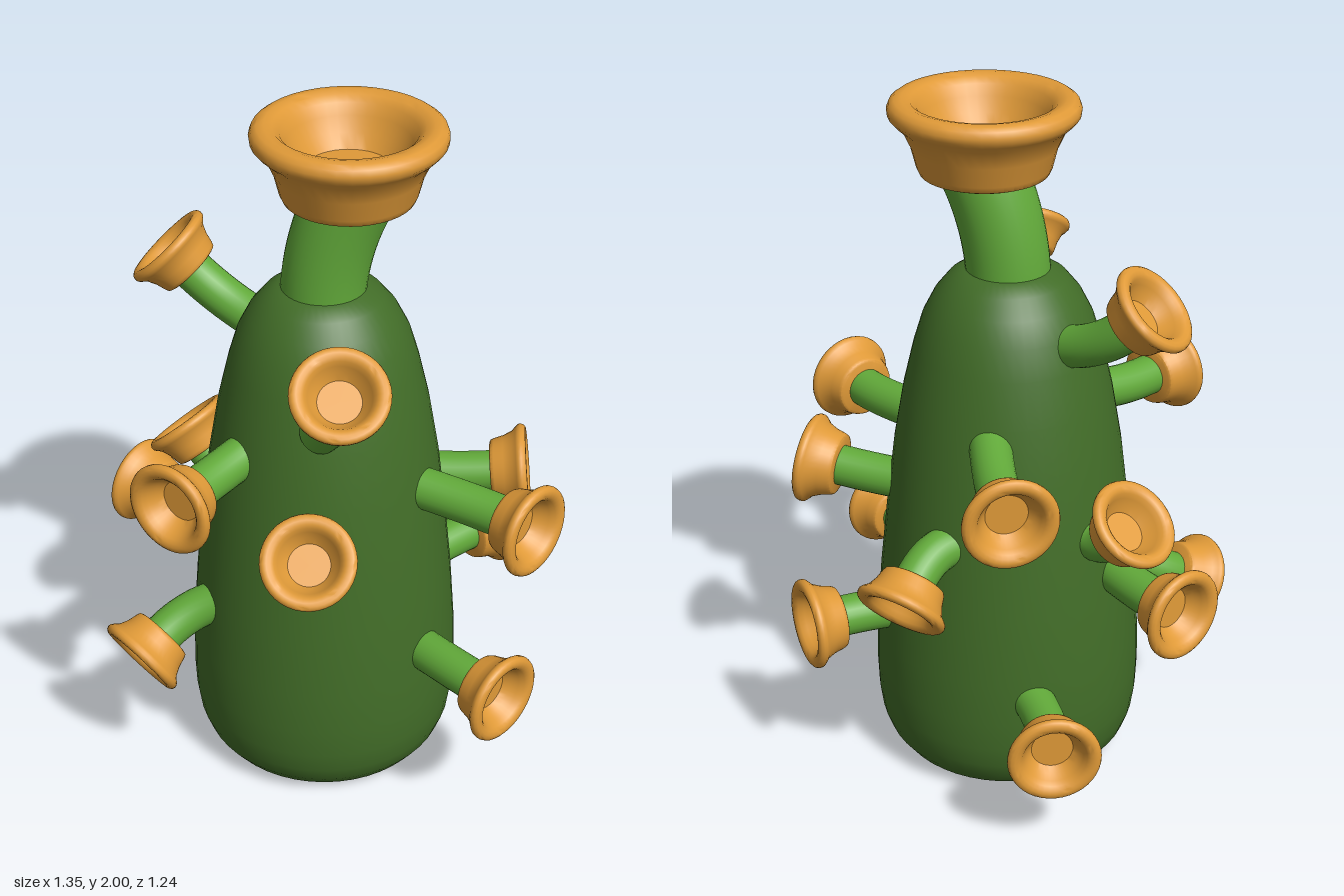
import * as THREE from 'three';
import { toCreasedNormals } from 'three/addons/utils/BufferGeometryUtils.js';

const V = (a) => new THREE.Vector3(...a);
const bodyMat = new THREE.MeshStandardMaterial({ color: 0x426d28 });
const stemMat = new THREE.MeshStandardMaterial({ color: 0x62aa3a });
const cupMat = new THREE.MeshStandardMaterial({ color: 0xe09a38 });
const AXIS = [-0.005, 0.033]; // x, z of the body's axis

function lathe(points, sides, crease) {
  const g = new THREE.LatheGeometry(points.map(([r, y]) => new THREE.Vector2(r, y)), sides);
  return toCreasedNormals(g, crease);
}

// Flared cup: outer wall, rounded lip, funnel and flat floor
const cupGeometry = lathe([
  [0, 0], [0.082, 0], [0.089, 0.003], [0.093, 0.012], [0.1, 0.04], [0.112, 0.066],
  [0.124, 0.077], [0.13, 0.084], [0.131, 0.092], [0.128, 0.1], [0.121, 0.105],
  [0.111, 0.106], [0.1, 0.103], [0.091, 0.095], [0.083, 0.08], [0.072, 0.06],
  [0.058, 0.042], [0, 0.042],
], 40, 0.75);

// A curved stem from the body to a cup whose rim centre is `rim`, opening along `dir`
function trumpet(name, base, rim, dir, size = 1, bend = 0.1) {
  const group = new THREE.Group();
  group.name = name;
  const d = V(dir).normalize();
  const seat = V(rim).addScaledVector(d, -0.104 * size);
  const start = V(base);
  const knee = seat.clone().addScaledVector(d, -bend);
  const end = seat.clone().addScaledVector(d, 0.015);
  const curve = new THREE.QuadraticBezierCurve3(start, knee, end);
  const stem = new THREE.Mesh(new THREE.TubeGeometry(curve, 14, 0.059 * size, 24), stemMat);
  stem.name = name + 'Stem';
  const cup = new THREE.Mesh(cupGeometry, cupMat);
  cup.name = name + 'Cup';
  cup.position.copy(seat);
  cup.quaternion.setFromUnitVectors(new THREE.Vector3(0, 1, 0), d);
  cup.scale.setScalar(size);
  group.add(stem, cup);
  return group;
}

// Side trumpets: name, point on the body, rim centre, opening direction
const TRUMPETS = [
  ['upperRightTrumpet', [-0.22, 1.36, -0.06], [-0.47, 1.54, -0.12], [-0.7, 0.7, -0.05]],
  ['upperFrontTrumpet', [0.02, 1.22, 0.29], [0.1, 1.48, 0.5], [0.1, 0.78, 0.6]],
  ['middleFrontTrumpet', [-0.04, 0.76, 0.36], [0.02, 0.97, 0.53], [0.05, 0.72, 0.69]],
  ['frontRightTrumpet', [-0.2, 1.09, 0.23], [-0.36, 1.075, 0.5], [-0.45, 0.03, 0.89]],
  ['middleRightTrumpet', [-0.27, 0.83, -0.09], [-0.45, 0.92, -0.18], [-0.6, 0.72, -0.25]],
  ['lowerRightTrumpet', [-0.33, 0.67, -0.03], [-0.61, 0.67, -0.215], [-0.86, 0.03, -0.5]],
  ['lowFrontRightTrumpet', [-0.28, 0.57, 0.22], [-0.5, 0.435, 0.36], [-0.58, -0.48, 0.65]],
  ['lowBackRightTrumpet', [-0.18, 0.34, -0.27], [-0.335, 0.325, -0.52], [-0.43, 0, -0.9]],
  ['upperBackTrumpet', [-0.05, 1.11, -0.24], [-0.22, 1.07, -0.555], [-0.53, -0.02, -0.84]],
  ['middleBackTrumpet', [0.05, 0.8, -0.27], [0.13, 0.685, -0.485], [0.15, -0.6, -0.78]],
  ['lowBackLeftTrumpet', [0.25, 0.49, -0.16], [0.47, 0.505, -0.37], [0.72, 0, -0.69]],
  ['middleLeftTrumpet', [0.27, 0.87, -0.08], [0.57, 0.895, -0.09], [0.98, 0.12, -0.05]],
  ['frontLeftTrumpet', [0.26, 0.97, 0.14], [0.615, 0.965, 0.315], [0.83, 0.03, 0.55]],
  ['lowFrontLeftTrumpet', [0.28, 0.455, 0.2], [0.56, 0.465, 0.43], [0.8, 0, 0.6]],
];

export function createModel() {
  const model = new THREE.Group();
  model.name = 'trumpetPlant';

  // Bottle-shaped body
  const body = new THREE.Mesh(lathe([
    [0, 0], [0.275, 0], [0.305, 0.008], [0.335, 0.028], [0.362, 0.065], [0.38, 0.115],
    [0.389, 0.18], [0.392, 0.27], [0.388, 0.4], [0.372, 0.6], [0.35, 0.8], [0.325, 1.0],
    [0.295, 1.17], [0.264, 1.3], [0.238, 1.385], [0.205, 1.45], [0.165, 1.5], [0.125, 1.527], [0, 1.53],
  ], 48, 0.6), bodyMat);
  body.name = 'body';
  body.position.set(AXIS[0], 0, AXIS[1]);
  model.add(body);

  // Large trumpet on top
  model.add(trumpet('topTrumpet', [-0.008, 1.45, 0.033], [0.062, 1.996, 0.033], [0, 1, 0], 1.98, 0));
  // Bend the main neck: swap its straight stem for a leaning curve
  const neck = model.getObjectByName('topTrumpetStem');
  neck.geometry = new THREE.TubeGeometry(new THREE.QuadraticBezierCurve3(
    V([-0.008, 1.45, 0.033]), V([-0.008, 1.65, 0.033]), V([0.08, 1.82, 0.033])), 18, 0.117, 32);

  // Small trumpets around the sides
  for (const t of TRUMPETS) model.add(trumpet(...t));
  return model;
}
